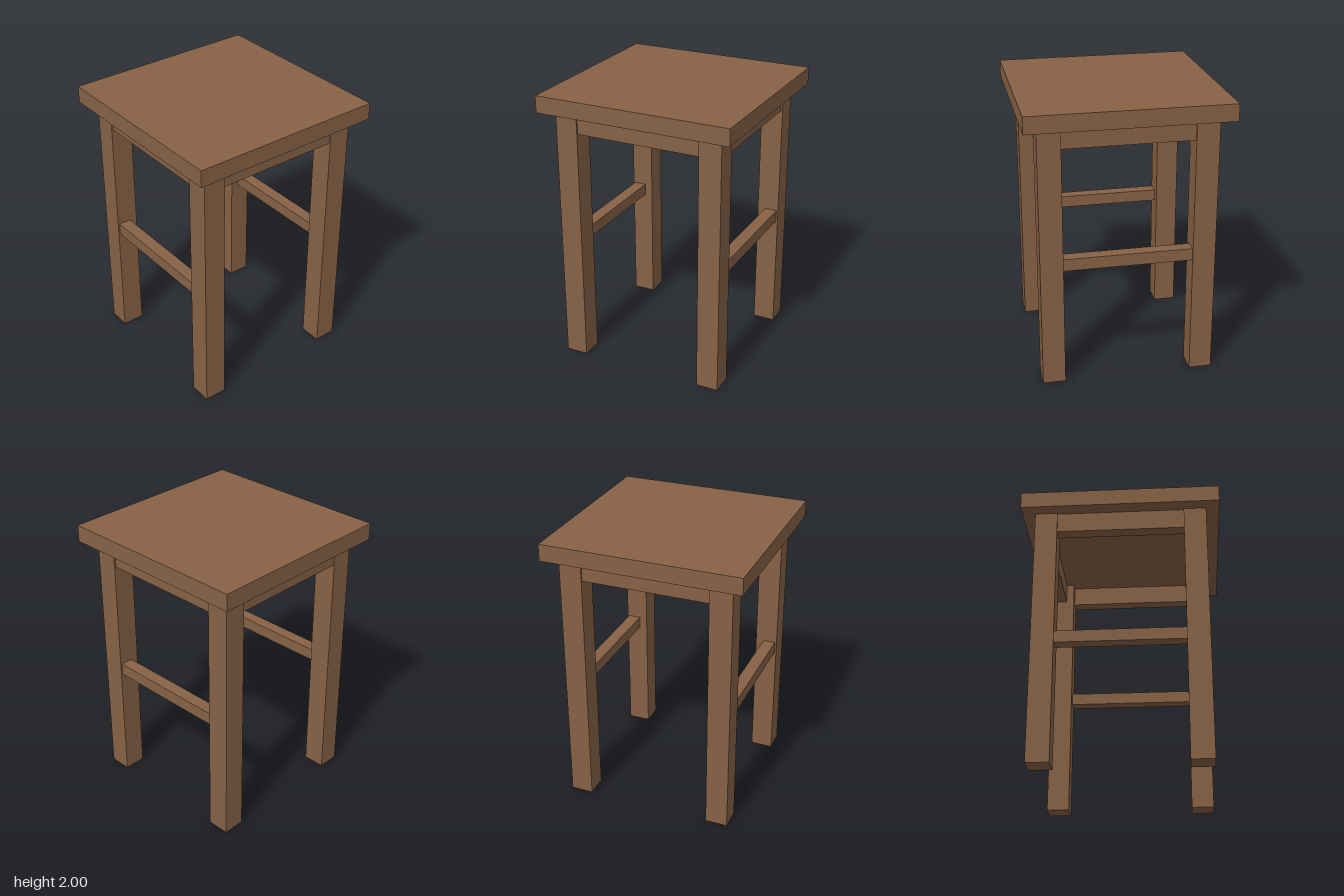
import * as THREE from 'three';

export function createModel() {
  const wood = new THREE.MeshStandardMaterial({ color: 0x866145 });
  wood.name = 'brown wood';
  const stool = new THREE.Group();
  stool.name = 'stool';

  // Box placed by its centre in x and z and its bottom and top heights
  const addBox = (name, width, depth, bottom, top, x, z) => {
    const mesh = new THREE.Mesh(new THREE.BoxGeometry(width, top - bottom, depth), wood);
    mesh.position.set(x, (bottom + top) / 2, z);
    mesh.name = name;
    stool.add(mesh);
  };

  const seatSize = 1.41, seatBottom = 1.88;
  const legOuter = 0.612, legInner = 0.452;
  const legWidth = legOuter - legInner, legCentre = (legOuter + legInner) / 2;
  const span = legInner * 2;
  const railWidth = 0.09;
  const railCentre = legOuter - 0.012 - railWidth / 2;

  // Thick square seat
  addBox('seat', seatSize, seatSize, seatBottom, 2, 0, 0);

  for (const side of [1, -1]) {
    const sideName = side > 0 ? 'left' : 'right';
    const endName = side > 0 ? 'front' : 'back';

    // Straight square legs
    addBox(sideName + 'FrontLeg', legWidth, legWidth, 0, seatBottom, side * legCentre, legCentre);
    addBox(sideName + 'BackLeg', legWidth, legWidth, 0, seatBottom, side * legCentre, -legCentre);

    // Aprons under the seat, on all four sides
    addBox(endName + 'Apron', span, railWidth, 1.733, seatBottom, 0, side * railCentre);
    addBox(sideName + 'Apron', railWidth, span, 1.733, seatBottom, side * railCentre, 0);

    // Stretchers join front and back legs on the left and right only
    addBox(sideName + 'Stretcher', railWidth, span, 0.858, 0.945, side * railCentre, 0);
  }
  return stool;
}
